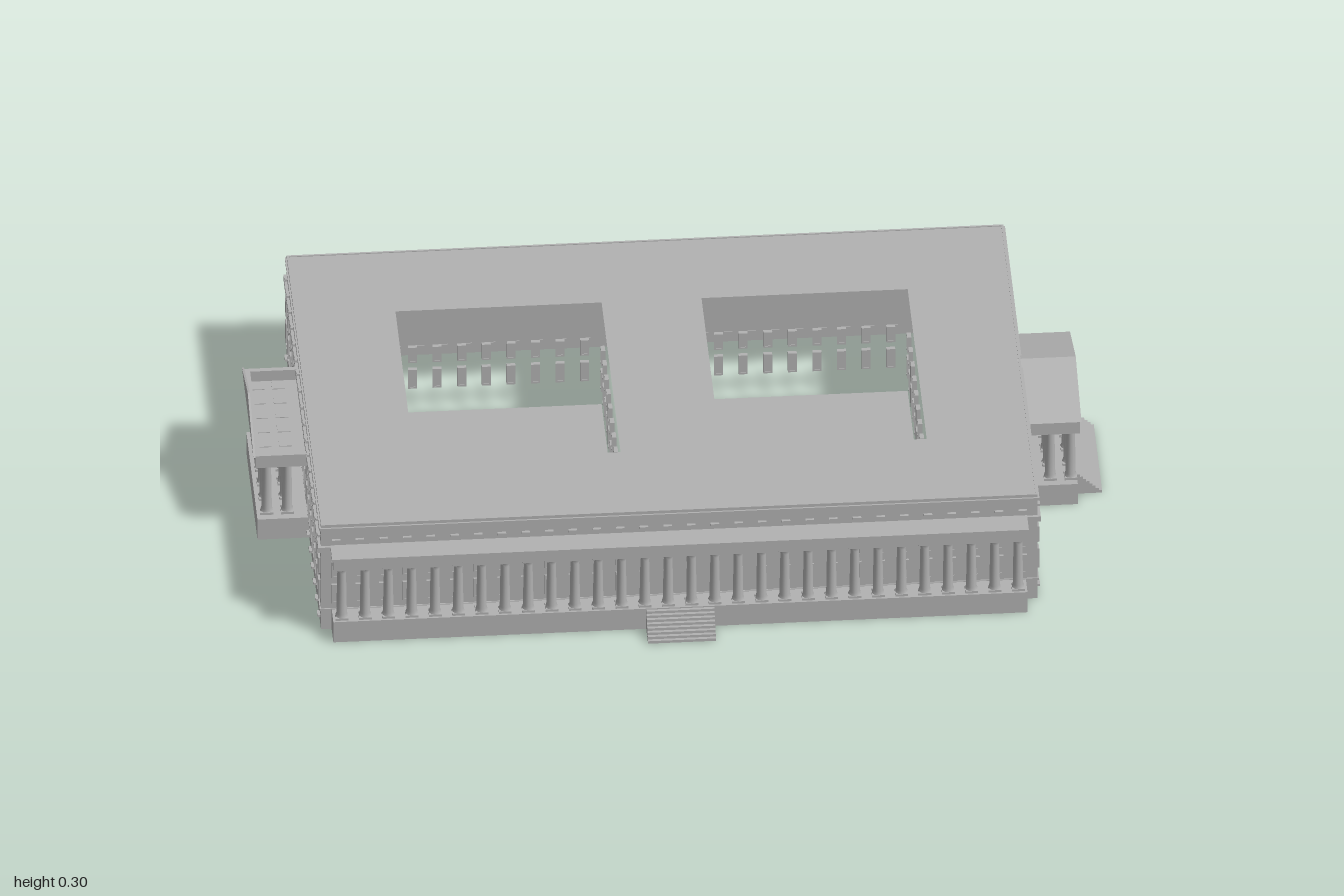
import * as THREE from 'three';
import { mergeGeometries } from 'three/addons/utils/BufferGeometryUtils.js';

const stone = new THREE.MeshStandardMaterial({ color: 0xb2b2b2, side: THREE.DoubleSide });
stone.name = 'greyStone';

// Outer walls and the two courtyards
const X0 = -0.868, X1 = 0.818, Z0 = -0.575, Z1 = 0.511;
const COURTS = [[-0.63, -0.145], [0.09, 0.575]];
const CZ0 = -0.335, CZ1 = 0.267;

// Box given by its limits
function block(x0, x1, y0, y1, z0, z1) {
  return new THREE.BoxGeometry(x1 - x0, y1 - y0, z1 - z0)
    .translate((x0 + x1) / 2, (y0 + y1) / 2, (z0 + z1) / 2);
}

// Four thin walls around a rectangle, growing outwards by "out"
function ring(x0, x1, y0, y1, z0, z1, t, out = 0) {
  const a = x0 - out, b = x1 + out, c = z0 - out, d = z1 + out;
  return [
    block(a, b, y0, y1, d - t, d), block(a, b, y0, y1, c, c + t),
    block(a, a + t, y0, y1, c + t, d - t), block(b - t, b, y0, y1, c + t, d - t),
  ];
}

function spread(a, b, n) {
  return Array.from({ length: n }, (_, i) => a + (b - a) * i / (n - 1));
}

// Column with plinth, tapered shaft, flared capital and abacus
function column(x, z, y0 = 0.058, y1 = 0.207) {
  const h = y1 - y0;
  const profile = [[0.015, 0.006], [0.0125, 0.014], [0.0122, 0.05], [0.0105, h - 0.018], [0.0145, h - 0.006]]
    .map(([r, y]) => new THREE.Vector2(r, y));
  const shaft = new THREE.LatheGeometry(profile, 10).translate(x, y0, z);
  return [
    shaft,
    block(x - 0.015, x + 0.015, y0, y0 + 0.006, z - 0.015, z + 0.015),
    block(x - 0.015, x + 0.015, y1 - 0.006, y1, z - 0.015, z + 0.015),
  ];
}

// Window frame with a recessed pane, passing through the wall; along = 'x' or 'z'
function windowFrame(along, at, wall, y0, y1, w = 0.021) {
  const h = w / 2, e = 0.004, d = 0.005;
  const piece = (a, b, lo, hi, t) => along === 'x'
    ? block(a, b, lo, hi, wall - t, wall + t)
    : block(wall - t, wall + t, lo, hi, a, b);
  return [
    piece(at - h, at - h + e, y0, y1, d), piece(at + h - e, at + h, y0, y1, d),
    piece(at - h, at + h, y0 - e, y0, d), piece(at - h, at + h, y1, y1 + e, d),
    piece(at - h + e, at + h - e, y0, y1, 0.003),
  ];
}

// Steps climbing towards the building, in direction 'x' or 'z'
function stairs(along, a, b, near, far, top, n) {
  const parts = [];
  for (let i = 0; i < n; i++) {
    const edge = far + (near - far) * i / n;
    const y0 = top * i / n, y1 = top * (i + 1) / n;
    parts.push(along === 'z' ? block(a, b, y0, y1, near, edge) : block(near, edge, y0, y1, a, b));
  }
  return parts;
}

export function createModel() {
  const model = new THREE.Group();
  model.name = 'building';
  const add = (name, parts) => {
    const flat = parts.flat(Infinity).map((g) => (g.index ? g.toNonIndexed() : g));
    const mesh = new THREE.Mesh(mergeGeometries(flat), stone);
    mesh.name = name;
    model.add(mesh);
    return mesh;
  };

  // Hollow shell, open underneath
  add('outerWalls', ring(X0, X1, 0, 0.3, Z0, Z1, 0.005));
  add('cornice', ring(X0, X1, 0.226, 0.24, Z0, Z1, 0.012, 0.007));
  add('parapetMoulding', ring(X0, X1, 0.285, 0.292, Z0, Z1, 0.008, 0.004));
  add('baseMoulding', ring(X0, X1, 0.054, 0.06, Z0, Z1, 0.007, 0.003));

  // Flat roof with a hole over each courtyard
  const roof = new THREE.Shape([[X0, -Z1], [X1, -Z1], [X1, -Z0], [X0, -Z0]].map(([x, y]) => new THREE.Vector2(x, y)));
  for (const [a, b] of COURTS) {
    roof.holes.push(new THREE.Path([[a, -CZ1], [a, -CZ0], [b, -CZ0], [b, -CZ1]].map(([x, y]) => new THREE.Vector2(x, y))));
  }
  add('roof', [new THREE.ShapeGeometry(roof).rotateX(-Math.PI / 2).translate(0, 0.298, 0)]);

  // Courtyard floors and rows of free window frames around them
  COURTS.forEach(([a, b]) => {
    add('courtyardFloor', [new THREE.PlaneGeometry(b - a, CZ1 - CZ0).rotateX(-Math.PI / 2)
      .translate((a + b) / 2, 0.004, (CZ0 + CZ1) / 2)]);
    const frames = [];
    for (const [lo, hi] of [[0.08, 0.126], [0.154, 0.19]]) {
      for (const x of spread(a + 0.04, b - 0.04, 8)) {
        frames.push(windowFrame('x', x, CZ0, lo, hi), windowFrame('x', x, CZ1, lo, hi));
      }
      for (const z of spread(CZ0 + 0.04, CZ1 - 0.04, 10)) {
        frames.push(windowFrame('z', z, a, lo, hi), windowFrame('z', z, b, lo, hi));
      }
    }
    add('courtyardWindows', frames);
  });

  // Outer windows: two tall rows and small attic and basement slots
  const frames = [], slots = [];
  const xs = spread(-0.8325, 0.7825, 30);
  const zs = [...spread(-0.545, -0.22, 6), ...spread(-0.165, 0.105, 5), ...spread(0.16, 0.483, 6)];
  for (const [lo, hi] of [[0.08, 0.126], [0.154, 0.19]]) {
    for (const x of xs) frames.push(windowFrame('x', x, Z0, lo, hi), windowFrame('x', x, Z1, lo, hi));
    for (const z of zs) frames.push(windowFrame('z', z, X0, lo, hi), windowFrame('z', z, X1, lo, hi));
  }
  for (const y of [0.025, 0.256]) {
    for (const x of xs) for (const w of [Z0, Z1]) slots.push(block(x - 0.01, x + 0.01, y - 0.003, y + 0.003, w - 0.007, w + 0.007));
    for (const z of zs) for (const w of [X0, X1]) slots.push(block(w - 0.007, w + 0.007, y - 0.003, y + 0.003, z - 0.01, z + 0.01));
  }
  add('outerWindows', frames);
  add('smallWindows', slots);

  // Front colonnade and its steps
  add('frontColonnadeBase', [block(-0.843, 0.79, 0, 0.058, Z1, 0.566)]);
  add('frontColonnadeBeam', [block(-0.843, 0.79, 0.207, 0.234, Z1, 0.564), block(-0.846, 0.793, 0.234, 0.241, Z1, 0.57)]);
  add('frontColumns', spread(-0.822, 0.769, 30).map((x) => column(x, 0.546)));
  add('frontSteps', stairs('z', -0.107, 0.053, 0.566, 0.626, 0.055, 8));

  // Back colonnade
  add('backColonnadeBase', [block(-0.315, 0.262, 0, 0.058, -0.628, Z0)]);
  add('backColonnadeBeam', [block(-0.315, 0.262, 0.207, 0.241, -0.63, Z0)]);
  add('backColumns', spread(-0.29, 0.237, 10).map((x) => column(x, -0.608)));

  // Side porches, two rows of six columns each
  const pz0 = -0.21, pz1 = 0.142, mid = -0.034;
  const rows = spread(-0.178, 0.11, 6);
  add('leftPorchBase', [block(X1, 0.94, 0, 0.058, pz0, pz1)]);
  add('leftPorchBeam', [block(X1, 0.945, 0.207, 0.241, pz0 - 0.004, pz1 + 0.004)]);
  add('leftPorchColumns', [0.877, 0.925].map((x) => rows.map((z) => column(x, z))));
  add('leftPorchSteps', stairs('x', -0.165, 0.1, 0.94, 1, 0.055, 8));
  add('rightPorchBase', [block(-0.99, X0, 0, 0.058, pz0, pz1)]);
  add('rightPorchBeam', [
    block(-0.99, X0, 0.207, 0.212, pz0, pz1), block(-0.995, -0.982, 0.207, 0.241, pz0, pz1),
    block(-0.982, X0, 0.207, 0.241, pz0, pz0 + 0.012), block(-0.982, X0, 0.207, 0.241, pz1 - 0.012, pz1),
  ]);
  add('rightPorchColumns', [-0.966, -0.918].map((x) => rows.map((z) => column(x, z, 0.058, 0.214))));

  // Gabled roof on one porch, a thin standing gable on the other
  const gable = new THREE.Shape([[pz0 - 0.006, 0.241], [pz1 + 0.006, 0.241], [mid, 0.3]].map(([z, y]) => new THREE.Vector2(-z, y)));
  const prism = (x, depth) => new THREE.ExtrudeGeometry(gable, { depth, bevelEnabled: false })
    .rotateY(Math.PI / 2).translate(x, 0, 0);
  add('leftPorchRoof', [prism(0.81, 0.138)]);
  add('rightPorchGable', [prism(-1, 0.005)]);

  return model;
}
